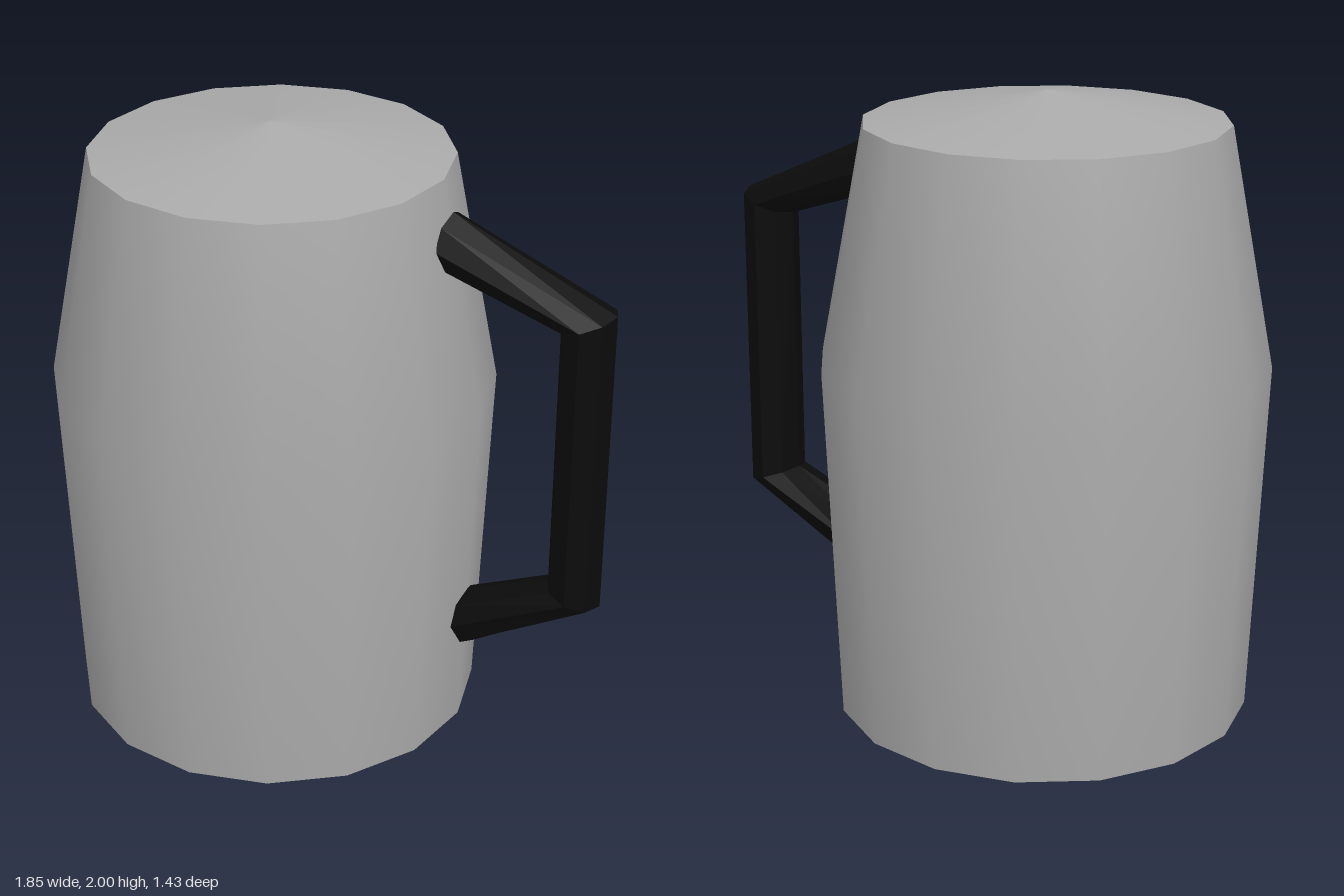
import * as THREE from 'three';

const SIDES = 16;
const AXIS_X = -0.213;

const steel = new THREE.MeshStandardMaterial({ color: 0xaaaaaa });
steel.name = 'brushed grey';
const black = new THREE.MeshStandardMaterial({ color: 0x0b0b0b });
black.name = 'handle black';

function addPart(group, name, geometry, material) {
  const mesh = new THREE.Mesh(geometry, material);
  mesh.name = name;
  group.add(mesh);
  return mesh;
}

function lathe(points) {
  return new THREE.LatheGeometry(points.map(([r, y]) => new THREE.Vector2(r, y)), SIDES);
}

// Octagonal bar lofted through sections: outer point, inner point, end bulge in x
function handleGeometry(sections, halfWidth) {
  const n = 8;
  const positions = [];
  const index = [];
  for (const { outer, inner, bulge } of sections) {
    const cx = (outer[0] + inner[0]) / 2;
    const cy = (outer[1] + inner[1]) / 2;
    for (let j = 0; j < n; j++) {
      const a = (j / n) * Math.PI * 2;
      const c = Math.cos(a);
      const s = Math.sin(a);
      positions.push(
        cx + (outer[0] - cx) * c - bulge * s * s,
        cy + (outer[1] - cy) * c,
        halfWidth * s
      );
    }
  }
  const last = (sections.length - 1) * n;
  for (let j = 0; j < n; j++) {
    const k = (j + 1) % n;
    for (let i = 0; i < last; i += n) {
      index.push(i + j, i + k, i + n + k, i + j, i + n + k, i + n + j);
    }
    // End caps
    if (j > 0 && j < n - 1) {
      index.push(0, k, j, last, last + j, last + k);
    }
  }
  const geometry = new THREE.BufferGeometry();
  geometry.setAttribute('position', new THREE.Float32BufferAttribute(positions, 3));
  geometry.setIndex(index);
  const flat = geometry.toNonIndexed();
  flat.computeVertexNormals();
  return flat;
}

export function createModel() {
  const model = new THREE.Group();
  model.name = 'jug';

  // Vessel: wall, shallow conical lid and flat base
  const vessel = new THREE.Group();
  vessel.name = 'vessel';
  vessel.position.x = AXIS_X;
  model.add(vessel);
  addPart(vessel, 'wall', lathe([[0.665, 0], [0.713, 1.145], [0.57, 1.905]]), steel);
  addPart(vessel, 'lid', lathe([[0.57, 1.905], [0, 2]]), steel);
  addPart(vessel, 'base', new THREE.CircleGeometry(0.665, SIDES).rotateX(Math.PI / 2), steel);

  // Angular handle on the left side
  const sections = [
    { outer: [0.39, 1.807], inner: [0.405, 1.61], bulge: 0.028 },
    { outer: [0.92, 1.565], inner: [0.745, 1.497], bulge: 0 },
    { outer: [0.92, 0.548], inner: [0.745, 0.605], bulge: 0 },
    { outer: [0.495, 0.302], inner: [0.47, 0.495], bulge: 0.028 },
  ];
  addPart(model, 'handle', handleGeometry(sections, 0.095), black);

  return model;
}
